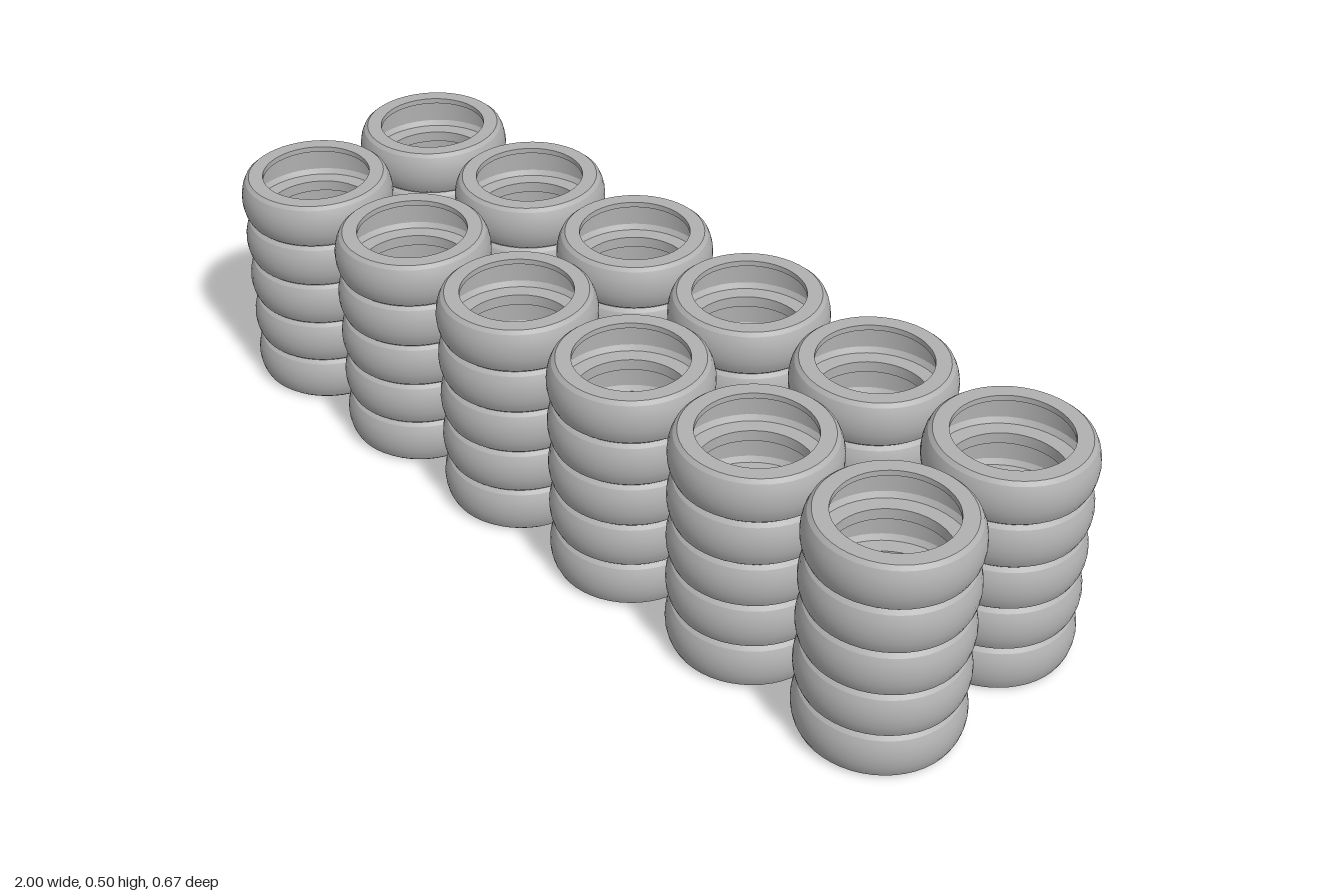
import * as THREE from 'three';
import { toCreasedNormals } from 'three/addons/utils/BufferGeometryUtils.js';

const COLUMNS = 6, ROWS = 2, LAYERS = 5;
const PITCH = 1 / 3, HEIGHT = 0.1;

// Hollow tyre: closed cross-section (radius, height) turned about the y axis
function tyreGeometry() {
  const tread = [[0.148, 0], [0.156, 0.007], [0.162, 0.02], [0.1655, 0.035]];
  const cavity = [[0.117, 0.012], [0.146, 0.014], [0.153, 0.025]];
  const flip = ([r, y]) => [r, HEIGHT - y];
  const section = [
    ...tread, [0.1667, 0.05], ...tread.map(flip).reverse(), // outside, going up
    [0.117, HEIGHT],                                        // top sidewall
    ...cavity.map(flip), ...cavity.slice().reverse(),       // inside, going down
    [0.117, 0], tread[0],                                   // bottom sidewall
  ];
  const points = section.map(([r, y]) => new THREE.Vector2(r, y));
  return toCreasedNormals(new THREE.LatheGeometry(points, 48), 0.4);
}

export function createModel() {
  const model = new THREE.Group();
  model.name = 'tyreWall';
  const rubber = new THREE.MeshStandardMaterial({ color: 0xb0b0b0 });
  rubber.name = 'grey rubber';
  const geometry = tyreGeometry();

  // Two rows of stacked tyres
  for (let row = 0; row < ROWS; row++) {
    for (let column = 0; column < COLUMNS; column++) {
      const stack = new THREE.Group();
      stack.name = 'tyreStack';
      stack.position.set(
        (column - (COLUMNS - 1) / 2) * PITCH, 0, (row - (ROWS - 1) / 2) * PITCH);
      for (let layer = 0; layer < LAYERS; layer++) {
        const tyre = new THREE.Mesh(geometry, rubber);
        tyre.name = 'tyre';
        tyre.position.y = layer * HEIGHT;
        stack.add(tyre);
      }
      model.add(stack);
    }
  }
  return model;
}
